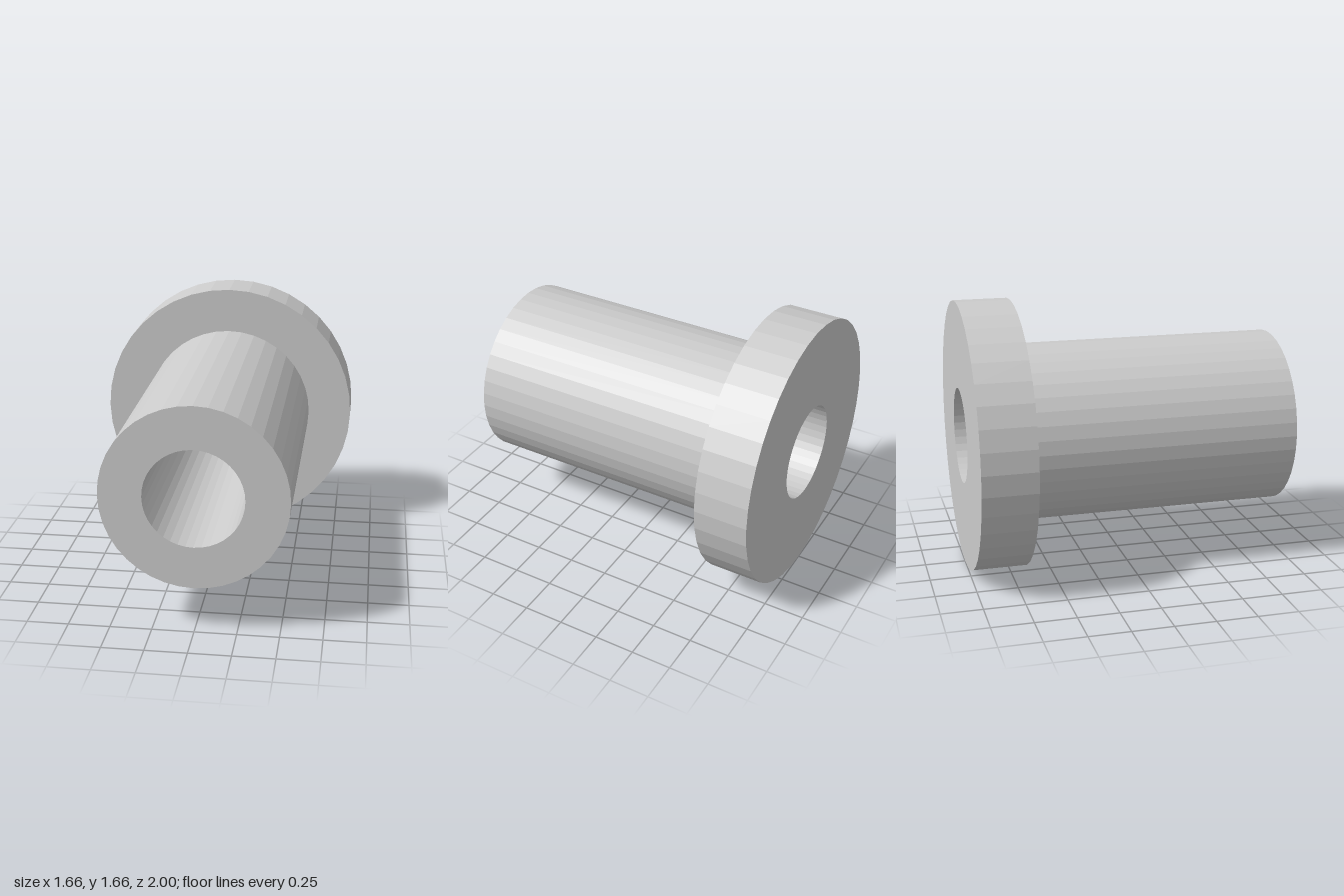
import * as THREE from 'three';

const FLANGE_R = 0.832, BARREL_R = 0.55, BORE_R = 0.295;
const BACK = -1, SHOULDER = -0.67, FRONT = 1;
const SEGMENTS = 40;

// Turns a [radius, z] profile around the z axis.
function turned(name, profile, material) {
  const points = profile.map(([r, z]) => new THREE.Vector2(r, z));
  const geometry = new THREE.LatheGeometry(points, SEGMENTS);
  geometry.rotateX(Math.PI / 2);
  const mesh = new THREE.Mesh(geometry, material);
  mesh.name = name;
  mesh.position.y = FLANGE_R;
  return mesh;
}

export function createModel() {
  const group = new THREE.Group();
  group.name = 'flangedBushing';
  const material = new THREE.MeshStandardMaterial({ color: 0xcccccc, flatShading: true });

  // Flange: back face, rim and shoulder
  group.add(turned('flange', [
    [BORE_R, BACK], [FLANGE_R, BACK], [FLANGE_R, SHOULDER], [BARREL_R, SHOULDER],
  ], material));

  // Barrel: outer wall and front end face
  group.add(turned('barrel', [
    [BARREL_R, SHOULDER], [BARREL_R, FRONT], [BORE_R, FRONT],
  ], material));

  // Through hole wall
  group.add(turned('bore', [[BORE_R, FRONT], [BORE_R, BACK]], material));

  return group;
}
